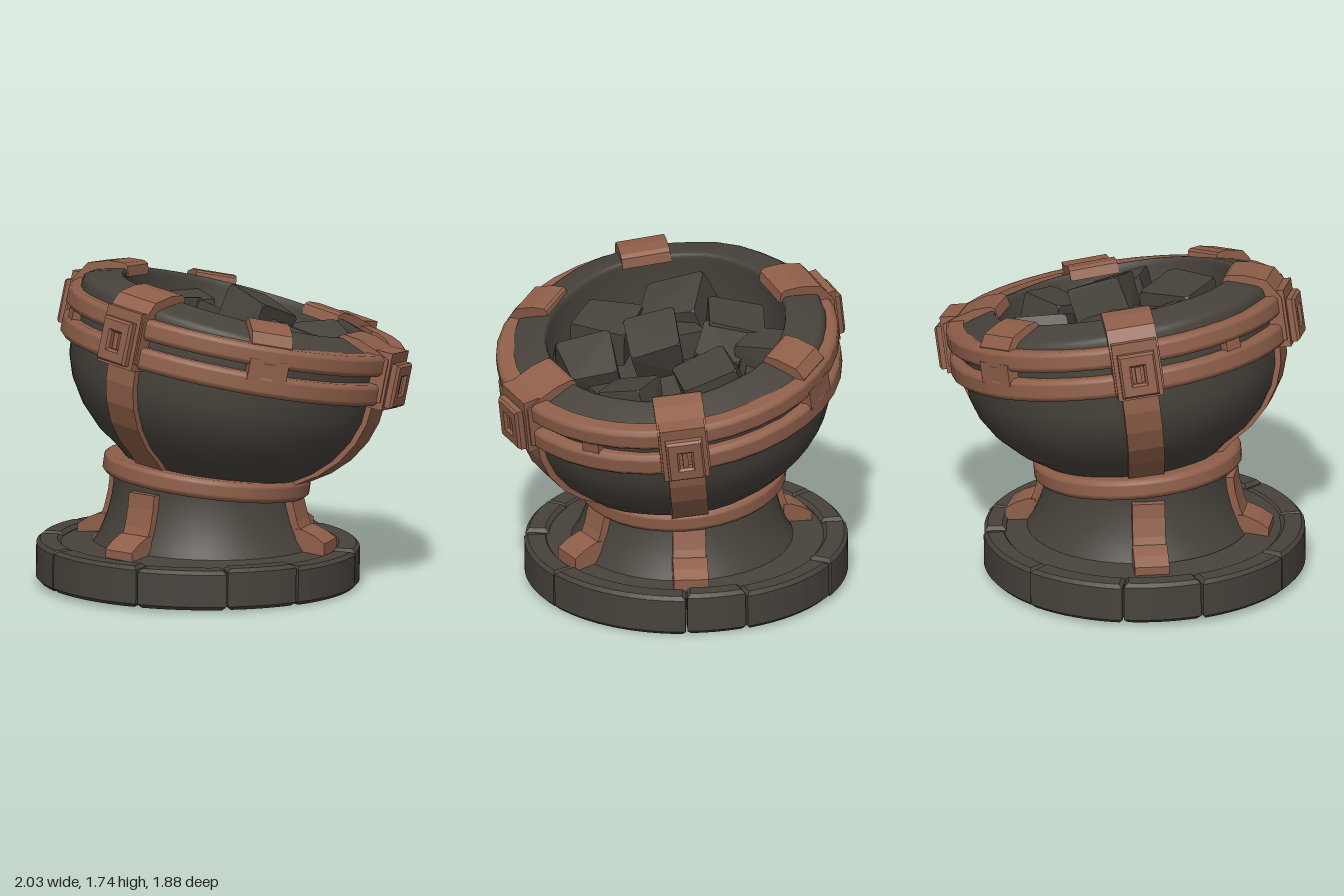
import * as THREE from 'three';
import { ConvexGeometry } from 'three/addons/geometries/ConvexGeometry.js';

const stone = new THREE.MeshStandardMaterial({ color: 0x47423b, side: THREE.DoubleSide });
stone.name = 'dark stone';
const rust = new THREE.MeshStandardMaterial({ color: 0x8f5f4a, side: THREE.DoubleSide });
rust.name = 'rusty metal';

const TILT = -0.2;
const RIM_SLOPE = 0.06;
const radians = (list) => list.map(THREE.MathUtils.degToRad);
const BOWL_CORNERS = radians([33, 143, 217, 327]);
const STEM_CORNERS = radians([32, 142, 218, 328]);

let seed = 7;
const rand = () => (seed = (seed * 16807) % 2147483647) / 2147483647;
const vary = (a) => (rand() - 0.5) * 2 * a;

function add(parent, name, geometry, material) {
  const mesh = new THREE.Mesh(geometry, material);
  mesh.name = name;
  parent.add(mesh);
  return mesh;
}

const toPoints = (list) => list.map(([r, h]) => new THREE.Vector2(r, h));
const lathe = (list, sides = 40) => new THREE.LatheGeometry(toPoints(list), sides);

// Flat-faced metal hoop with tight bevelled edges
function hoop(inner, outer, low, high) {
  const b = 0.018;
  const e = 0.03;
  return lathe([[inner, low], [outer - e, low], [outer - b, low], [outer, low + b], [outer, low + e],
    [outer, high - e], [outer, high - b], [outer - b, high], [outer - e, high], [inner, high]], 36);
}

// Closed (radius, height) outline given a width and turned to an angle
function radialSlab(outline, width, angle) {
  const geo = new THREE.ExtrudeGeometry(new THREE.Shape(toPoints(outline)), { depth: width, bevelEnabled: false });
  return geo.translate(0, 0, -width / 2).rotateY(angle);
}

// Strap that follows a profile, sitting partly inside the wall
function strapOutline(profile, inward, outward) {
  return [
    ...profile.map(([r, h]) => [r + outward, h]),
    ...profile.map(([r, h]) => [r - inward, h]).reverse(),
  ];
}

// Curved base block, solid wall with bevelled edges
function baseBlock(start, end, outer, height) {
  const bev = 0.02;
  const shape = new THREE.Shape();
  shape.absarc(0, 0, outer - bev, start, end, false);
  shape.absarc(0, 0, 0.75 + bev, end, start, true);
  const geo = new THREE.ExtrudeGeometry(shape, {
    depth: height - 2 * bev, curveSegments: 4, bevelSize: bev, bevelThickness: bev, bevelSegments: 1,
  });
  return geo.translate(0, 0, bev).rotateX(-Math.PI / 2);
}

// Rough cube with cut corners
function chunkGeometry(size) {
  const pts = [];
  for (const x of [-1, 1]) for (const y of [-1, 1]) for (const z of [-1, 1]) {
    const c = [x, y * 0.8, z].map((v) => v * (size / 2) * (1 + vary(0.12)));
    for (let k = 0; k < 3; k++) {
      pts.push(new THREE.Vector3(...c.map((v, i) => (i === k ? v * 0.86 : v))));
    }
  }
  return new ConvexGeometry(pts);
}

// Square buckle with a recessed frame and a pin, facing +x
function makeBuckle() {
  const g = new THREE.Group();
  g.name = 'buckle';
  add(g, 'bucklePlate', new THREE.BoxGeometry(0.1, 0.32, 0.25).translate(0.915, 0.75, 0), rust);
  const frame = new THREE.Shape(toPoints([[-0.09, -0.11], [0.09, -0.11], [0.09, 0.11], [-0.09, 0.11]]));
  frame.holes.push(new THREE.Path(toPoints([[-0.045, -0.06], [-0.045, 0.06], [0.045, 0.06], [0.045, -0.06]])));
  const geo = new THREE.ExtrudeGeometry(frame, {
    depth: 0.03, bevelSize: 0.012, bevelThickness: 0.015, bevelSegments: 1,
  });
  add(g, 'buckleFrame', geo.rotateY(Math.PI / 2).translate(0.968, 0.73, 0), rust);
  add(g, 'bucklePin', new THREE.BoxGeometry(0.04, 0.09, 0.03).translate(0.975, 0.73, 0), rust);
  return g;
}

function makeBase() {
  const base = new THREE.Group();
  base.name = 'base';
  base.position.set(-0.125, 0.012, 0);
  base.rotation.z = -0.014;
  // Ring of blocks with narrow joints
  const cuts = [0.497, 0.883, 1.6, 2.25, 2.75, 3.4, 4.12, 4.69, 5.17, 5.824, 6.78];
  for (let i = 0; i < cuts.length - 1; i++) {
    const block = baseBlock(cuts[i] + 0.028, cuts[i + 1] - 0.028, 0.88 + vary(0.01), 0.225 + vary(0.012));
    add(base, 'baseBlock', block, stone);
  }
  add(base, 'baseTop', lathe([[0.84, 0.195], [0.7, 0.215], [0.58, 0.23]]), stone);
  return base;
}

function makeStem() {
  const stem = new THREE.Group();
  stem.name = 'stem';
  stem.position.x = -0.085;
  const profile = [[0.63, 0.2], [0.575, 0.29], [0.535, 0.39], [0.51, 0.49], [0.5, 0.57], [0.5, 0.66]];
  add(stem, 'stemWall', lathe(profile), stone);
  for (const a of STEM_CORNERS) {
    add(stem, 'stemStrap', radialSlab(strapOutline(profile.slice(0, 5), 0.035, 0.035), 0.18, a), rust);
    add(stem, 'strapFoot', radialSlab(
      [[0.57, 0.2], [0.73, 0.2], [0.73, 0.28], [0.67, 0.32], [0.6, 0.35], [0.56, 0.35]], 0.19, a), rust);
  }
  return stem;
}

function makeBowl() {
  const bowl = new THREE.Group();
  bowl.name = 'bowl';
  bowl.position.set(-0.075, 0.61, 0);
  bowl.rotation.z = TILT;

  // Outer wall, flat sloping rim and upright inner wall
  const outer = [[0.44, 0], [0.525, 0.07], [0.645, 0.15], [0.745, 0.25], [0.82, 0.37], [0.86, 0.49], [0.872, 0.62]];
  const wall = lathe([...outer, [0.88, 0.76], [0.875, 0.86], [0.868, 0.885], [0.85, 0.9], [0.83, 0.91], [0.74, 0.94],
    [0.69, 0.955], [0.675, 0.957], [0.665, 0.953], [0.66, 0.94], [0.657, 0.92], [0.645, 0.75], [0.6, 0.6]]);
  // Worn unevenness, and a rim leaning a little more than the bands
  const p = wall.attributes.position;
  for (let i = 0; i < p.count; i++) {
    const a = Math.atan2(p.getZ(i), p.getX(i));
    const s = 1 + 0.006 * Math.sin(7 * a + 5 * p.getY(i)) + 0.004 * Math.sin(13 * a);
    p.setX(i, p.getX(i) * s);
    p.setZ(i, p.getZ(i) * s);
    if (p.getY(i) > 0.8) p.setY(i, p.getY(i) - RIM_SLOPE * p.getX(i));
  }
  add(bowl, 'bowlWall', wall, stone);
  add(bowl, 'bowlFloor', lathe([[0.46, 0.03], [0, 0.03]]), stone);
  add(bowl, 'coalBed', lathe([[0.65, 0.66], [0.35, 0.69], [0, 0.72]], 24), stone);

  add(bowl, 'lowerBand', hoop(0.84, 0.94, 0.605, 0.725), rust);
  add(bowl, 'upperBand', hoop(0.84, 0.94, 0.77, 0.885), rust);

  // Corner straps, rim clips and buckles
  const addClip = (name, top, bottom, width, a) => {
    const lean = -RIM_SLOPE * 0.75 * Math.cos(a);
    add(bowl, name, radialSlab([...top.map(([r, h]) => [r, h + lean]), ...bottom], width, a), rust);
  };
  const cornerTop = [[0.68, 0.92], [0.63, 0.92], [0.645, 0.975], [0.67, 0.988], [0.76, 0.98], [0.88, 0.94]];
  const sideTop = [[0.7, 0.92], [0.665, 0.93], [0.675, 0.98], [0.69, 0.99], [0.76, 0.985], [0.87, 0.95]];
  for (const a of BOWL_CORNERS) {
    add(bowl, 'bowlStrap', radialSlab(strapOutline(outer, 0.03, 0.028), 0.2, a), rust);
    addClip('cornerClip', cornerTop, [[0.95, 0.87], [0.95, 0.63], [0.85, 0.63], [0.85, 0.84]], 0.27, a);
    const buckle = makeBuckle();
    buckle.rotation.y = a;
    bowl.add(buckle);
  }
  // Plain clips at front and back, with the gap between the bands filled below
  for (const s of [-1, 1]) {
    const a = s * Math.PI / 2;
    addClip('sideClip', sideTop, [[0.915, 0.89], [0.91, 0.84], [0.84, 0.84]], 0.23, a);
    add(bowl, 'bandBridge', new THREE.BoxGeometry(0.09, 0.12, 0.22).translate(0.892, 0.75, 0).rotateY(a), rust);
    add(bowl, 'bandTab', new THREE.BoxGeometry(0.08, 0.1, 0.1).translate(s * 0.885, 0.75, 0), rust);
  }

  // Heap of coal: [x, z, height, size, turn, lean]
  const heap = [
    [0.1, 0.02, 0.89, 0.28, 0.6, -0.25], [-0.19, -0.52, 0.76, 0.27, 0.1, 0.15], [-0.33, -0.23, 0.76, 0.3, 0.5, 0.2],
    [0.19, -0.36, 0.78, 0.31, 0.7, -0.2], [0.49, -0.03, 0.77, 0.27, 0.05, 0.2], [-0.41, 0.15, 0.75, 0.32, 0.3, -0.15],
    [-0.06, 0.42, 0.77, 0.31, 0.2, 0.15], [0.3, 0.33, 0.78, 0.29, 0.7, -0.2], [0.4, -0.27, 0.7, 0.2, 0.4, 0.3],
    [0.4, 0.16, 0.7, 0.2, 0.9, 0.2], [-0.15, 0.04, 0.73, 0.25, 1, 0.2], [0.2, 0.52, 0.68, 0.2, 0.5, 0.3],
    [-0.13, -0.26, 0.76, 0.26, 0.15, -0.2], [-0.28, 0.4, 0.69, 0.2, 0.6, 0.3], [0.02, -0.56, 0.69, 0.18, 0.3, 0.2],
    [-0.5, -0.05, 0.67, 0.18, 0.8, 0.2],
  ];
  for (const [x, z, h, size, turn, lean] of heap) {
    const chunk = add(bowl, 'coalChunk', chunkGeometry(size), stone);
    chunk.position.set(x, h, z);
    chunk.rotation.set(vary(0.25), turn, lean, 'ZXY');
  }
  return bowl;
}

export function createModel() {
  const model = new THREE.Group();
  model.name = 'tiltedBrazier';
  model.add(makeBase(), makeStem(), makeBowl());
  // Collar where the stem meets the bowl
  const collar = add(model, 'neckCollar', hoop(0.46, 0.57, -0.05, 0.06), rust);
  collar.position.set(-0.075, 0.605, 0);
  collar.rotation.z = -0.13;
  return model;
}
